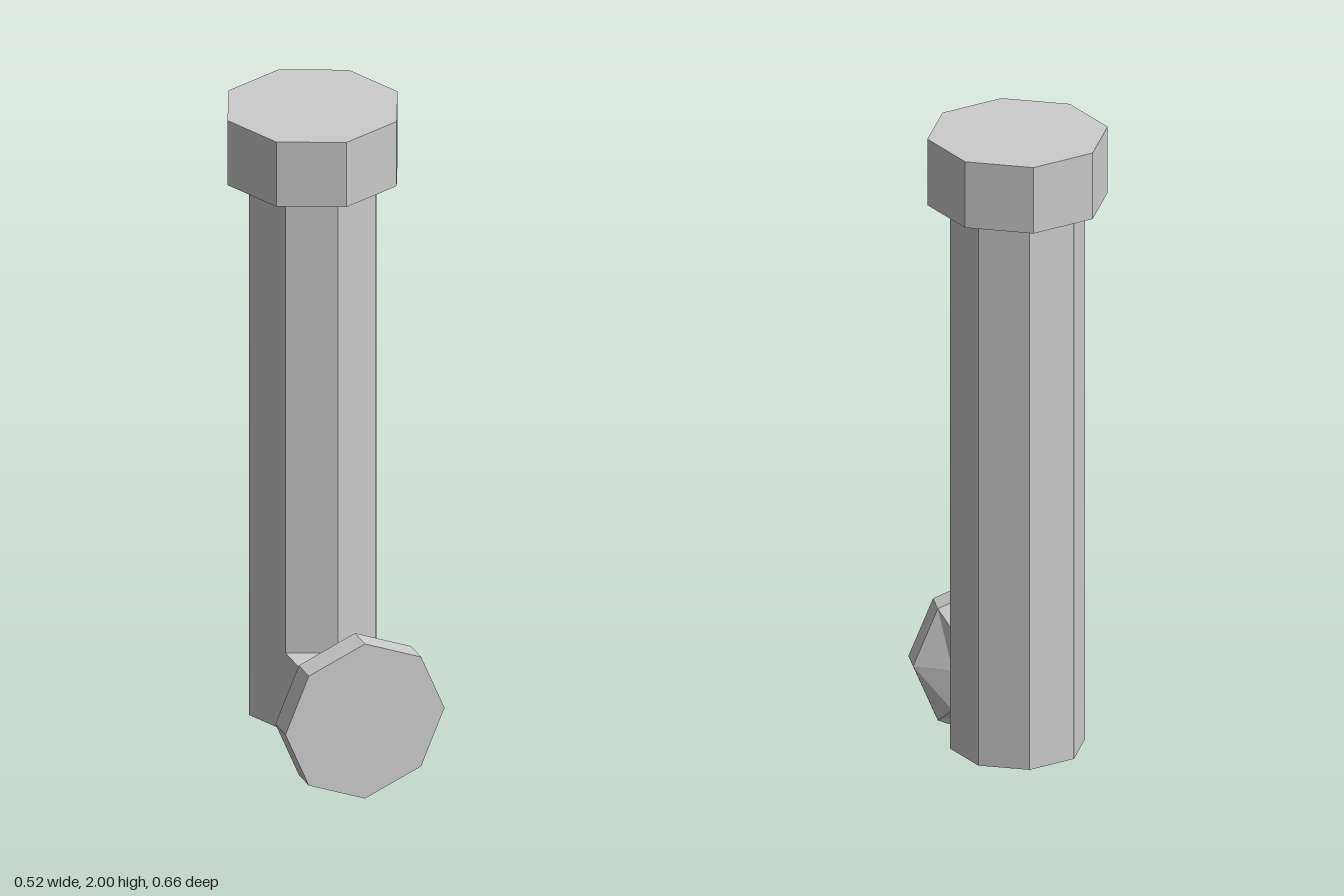
import * as THREE from 'three';

const material = new THREE.MeshStandardMaterial({ color: 0xcccccc, flatShading: true });
const AXIS_Z = -0.071; // upright pipe axis
const MID_Y = 0.243;   // outlet axis height

// Joins eight-sided rings along z and closes the front
function loft(rings) {
  const pos = [];
  const tri = (...pts) => pts.forEach((p) => pos.push(...p));
  for (let r = 0; r < rings.length - 1; r++) {
    for (let j = 0; j < 8; j++) {
      const k = (j + 1) % 8;
      const a = rings[r][j], b = rings[r][k], c = rings[r + 1][k], d = rings[r + 1][j];
      tri(a, b, c);
      tri(a, c, d);
    }
  }
  const end = rings[rings.length - 1];
  for (let j = 1; j < 7; j++) tri(end[0], end[j], end[j + 1]);
  const geo = new THREE.BufferGeometry();
  geo.setAttribute('position', new THREE.Float32BufferAttribute(pos, 3));
  geo.computeVertexNormals();
  return geo;
}

const ring = (fn) => Array.from({ length: 8 }, (_, j) => fn(j * Math.PI / 4));

// Rectangle with corners and edge midpoints, matching the octagon's corners
const rectRing = (hx, hy, z) => ring((t) =>
  [Math.round(Math.cos(t)) * hx, Math.round(Math.sin(t)) * hy, z]);

const octRing = (radius, z) => ring((t) =>
  [Math.cos(t) * radius, Math.sin(t) * radius, z]);

export function createModel() {
  const group = new THREE.Group();
  const add = (name, geometry, x, y, z) => {
    const mesh = new THREE.Mesh(geometry, material);
    mesh.name = name;
    mesh.position.set(x, y, z);
    group.add(mesh);
  };
  const octagonal = (radius, y0, y1, name) =>
    add(name, new THREE.CylinderGeometry(radius, radius, y1 - y0, 8), 0, (y0 + y1) / 2, AXIS_Z);

  // Upright pipe and its wider top collar
  octagonal(0.195, 0.12, 1.797, 'uprightPipe');
  octagonal(0.26, 1.797, 2, 'topCollar');

  // Square neck flaring into the octagonal front flange
  add('outletFlange', loft([
    rectRing(0.138, 0.123, AXIS_Z + 0.138),
    rectRing(0.138, 0.123, 0.205),
    octRing(0.243, 0.254),
    octRing(0.243, 0.331),
  ]), 0, MID_Y, 0);

  return group;
}
